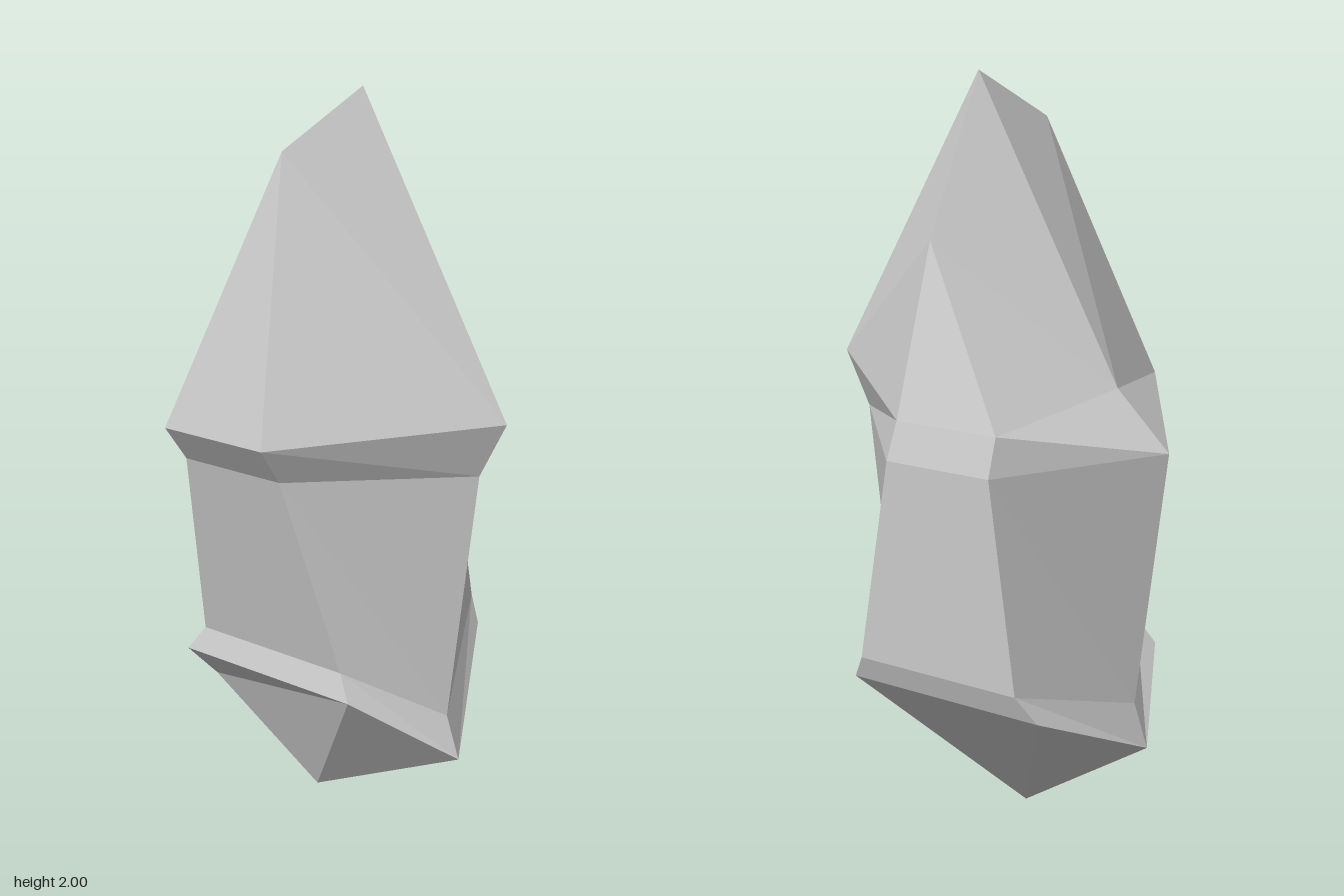
import * as THREE from 'three';

// Six corners per ring, in order: right, back right, back left, left, front left, front right
function ring(ySide, yFace, xLeft, xRight, back, front) {
  const [bl, br, bz] = back;
  const [fl, fr, fz] = front;
  return [
    [xRight, ySide, 0.01], [br, yFace, bz], [bl, yFace, bz],
    [xLeft, ySide, 0.01], [fl, yFace, fz], [fr, yFace, fz],
  ];
}

const rings = [
  ring(0.25, 0.45, -0.47, 0.39, [-0.37, 0.19, -0.39], [-0.37, 0.19, 0.24]),
  ring(0.37, 0.52, -0.43, 0.35, [-0.32, 0.15, -0.415], [-0.32, 0.15, 0.22]),
  ring(1.07, 1.07, -0.51, 0.43, [-0.25, 0.05, -0.425], [-0.25, 0.06, 0.35]),
  ring(1.22, 1.17, -0.36, 0.505, [-0.255, 0.035, -0.4], [-0.255, 0.06, 0.42]),
];
const tip = [-0.1, 0, 0];
const peak = [0.03, 2, -0.035];
const frontPeak = [0, 1.87, 0.25];
const backPeak = [0.02, 1.6, -0.27];

const material = new THREE.MeshStandardMaterial({ color: 0xcccccc, flatShading: true });

function facetMesh(name, triangles) {
  const geometry = new THREE.BufferGeometry();
  geometry.setAttribute('position', new THREE.Float32BufferAttribute(triangles.flat(2), 3));
  geometry.computeVertexNormals();
  const mesh = new THREE.Mesh(geometry, material);
  mesh.name = name;
  return mesh;
}

// Band of facets joining two rings
function band(lower, upper) {
  const triangles = [];
  for (let i = 0; i < 6; i++) {
    const j = (i + 1) % 6;
    const [a, b, c, d] = [lower[i], lower[j], upper[j], upper[i]];
    // Diagonals mirror about the left corner
    if (i === 2 || i === 5) triangles.push([a, b, d], [b, c, d]);
    else triangles.push([a, b, c], [a, c, d]);
  }
  return triangles;
}

export function createModel() {
  const group = new THREE.Group();
  group.name = 'crystal';

  // Pointed base, with an undercut facet at the front
  const [r, br, bl, l, fl, fr] = rings[0];
  group.add(facetMesh('base', [
    [br, r, tip], [bl, br, tip], [l, bl, tip], [r, fr, tip],
    [fr, fl, l], [fr, l, tip],
  ]));

  // Lower bevel, long column and upper collar
  ['lowerBevel', 'column', 'collar'].forEach((name, i) => {
    group.add(facetMesh(name, band(rings[i], rings[i + 1])));
  });

  // Crown with a main peak and a ridge running front to back
  const [R, BR, BL, L, FL, FR] = rings[3];
  group.add(facetMesh('crown', [
    [FL, FR, frontPeak], [FR, R, frontPeak], [L, FL, frontPeak],
    [R, peak, frontPeak], [L, frontPeak, peak],
    [R, BR, backPeak], [BR, BL, backPeak], [BL, L, backPeak],
    [R, backPeak, peak], [L, peak, backPeak],
  ]));
  return group;
}
